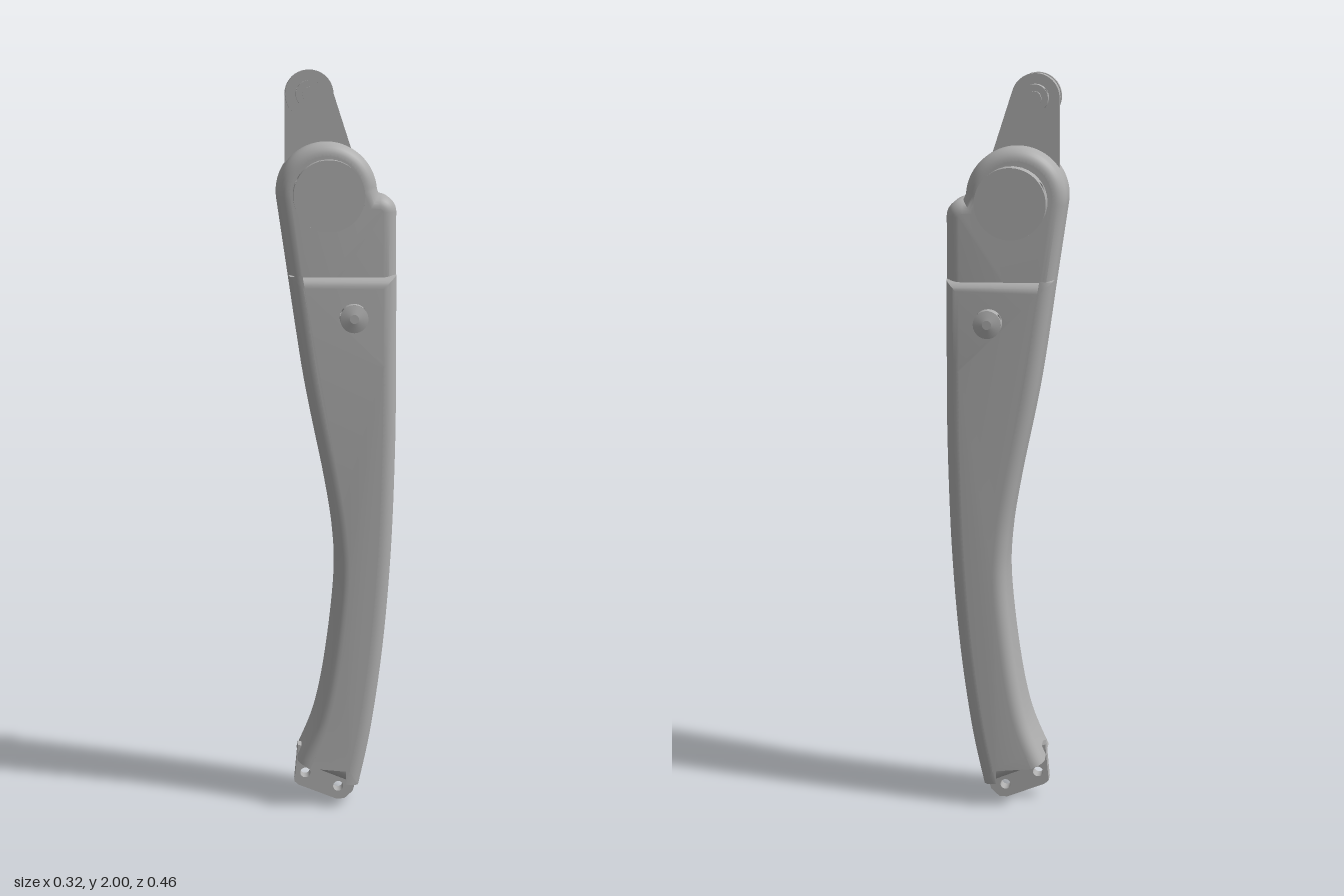
import * as THREE from 'three';
import { toCreasedNormals } from 'three/addons/utils/BufferGeometryUtils.js';
import { ParametricGeometry } from 'three/addons/geometries/ParametricGeometry.js';

const grey = new THREE.MeshStandardMaterial({ color: 0xaeaeae, side: THREE.DoubleSide });
grey.name = 'plain grey';

// Creasing is done at a large scale so that small parts keep their detail
function mesh(geo, name, angle = 0.55) {
  geo.scale(100, 100, 100);
  const g = toCreasedNormals(geo, angle);
  g.scale(0.01, 0.01, 0.01);
  const m = new THREE.Mesh(g, grey);
  m.name = name;
  return m;
}

// Solid with rounded edges, spanning z = -half to half
function roundedSolid(shape, half, r, name) {
  const geo = new THREE.ExtrudeGeometry(shape, {
    depth: 2 * (half - r), bevelThickness: r, bevelSize: r, bevelOffset: -r,
    bevelSegments: 7, curveSegments: 32,
  });
  geo.translate(0, 0, r - half);
  return mesh(geo, name);
}

function plate(shape, z0, z1, name) {
  const geo = new THREE.ExtrudeGeometry(shape, { depth: z1 - z0, bevelEnabled: false, curveSegments: 32 });
  geo.translate(0, 0, z0);
  return mesh(geo, name);
}

// Cylinder along z
function rod(x, y, z0, z1, r, name, sides = 40) {
  const geo = new THREE.CylinderGeometry(r, r, z1 - z0, sides);
  geo.rotateX(Math.PI / 2);
  geo.translate(x, y, (z0 + z1) / 2);
  return mesh(geo, name);
}

// Collar along z with three radial holes drilled in its rim
function collar(x, y, z0, z1, R, hole, name) {
  const group = new THREE.Group();
  group.name = name;
  const half = (z1 - z0) / 2;
  for (let i = 0; i < 3; i++) {
    const mid = Math.PI * (0.18 + i * 2 / 3);
    const rim = new ParametricGeometry((u, v, p) => {
      const a = u * 2 * Math.PI, c = Math.cos(a), s = Math.sin(a);
      const m = Math.max(Math.abs(c), Math.abs(s));
      const k = Math.max(0, (v * 6 - 1) / 5);
      const arc = THREE.MathUtils.lerp(c * hole / R, c / m * Math.PI / 3, k);
      const w = THREE.MathUtils.lerp(s * hole, s / m * half, k);
      const r = v < 0.01 ? R * 0.6 : R;
      p.set(r * Math.cos(mid + arc), r * Math.sin(mid + arc), w);
    }, 48, 6);
    group.add(mesh(rim, 'drilledRim'));
  }
  for (const side of [-1, 1]) {
    const cap = new THREE.CircleGeometry(R, 60);
    if (side < 0) cap.rotateY(Math.PI);
    cap.translate(0, 0, side * half);
    group.add(mesh(cap, 'collarFace'));
  }
  group.add(rod(0, 0, -half * 0.98, half * 0.98, R * 0.65, 'collarCore'));
  group.position.set(x, y, (z0 + z1) / 2);
  return group;
}

const vecs = (pts) => pts.map(([x, y]) => new THREE.Vector2(x, y));

function circleHole(x, y, r) {
  return new THREE.Path().absarc(x, y, r, 0, Math.PI * 2, true);
}

export function createModel() {
  const model = new THREE.Group();
  model.name = 'leg';
  const ax = -0.027, ay = 1.68;   // main axle
  const px = -0.073, py = 1.937;  // lever pin

  // Curved lower limb
  const limb = new THREE.Shape();
  limb.moveTo(-0.108, 0.13);
  limb.lineTo(0.058, 0.062);
  limb.splineThru(vecs([[0.093, 0.23], [0.125, 0.465], [0.146, 0.73], [0.156, 1.02], [0.157, 1.25]]));
  limb.lineTo(0.157, 1.465);
  limb.lineTo(-0.129, 1.465);
  limb.splineThru(vecs([[-0.087, 1.18], [-0.034, 0.915], [-0.009, 0.757], [-0.005, 0.62], [-0.028, 0.41], [-0.06, 0.25], [-0.108, 0.13]]));
  model.add(roundedSolid(limb, 0.104, 0.036, 'lowerLimb'));

  // Narrower hip with a round head and a shoulder
  const hip = new THREE.Shape();
  hip.moveTo(-0.106, 1.3);
  hip.lineTo(0.157, 1.3);
  hip.lineTo(0.157, 1.63);
  hip.absarc(0.112, 1.63, 0.045, 0, Math.PI / 2, false);
  hip.absarc(ax, ay, 0.133, 0.075, Math.PI + 0.14, false);
  hip.closePath();
  model.add(roundedSolid(hip, 0.087, 0.036, 'hip'));

  // Foot tab with two bolt holes
  const tab = new THREE.Shape(vecs([[-0.116, 0.055], [-0.106, 0.16], [0.02, 0.12], [0.056, 0.062],
    [0.045, 0.025], [0.022, 0.004], [0.0, 0.003], [-0.105, 0.045]]));
  tab.holes.push(circleHole(-0.086, 0.08, 0.014), circleHole(0.005, 0.04, 0.014));
  model.add(plate(tab, -0.02, 0.02, 'footTab'));

  // Axle ends and side bolts, front and back
  for (const side of [1, -1]) {
    const end = new THREE.Group();
    end.name = side > 0 ? 'frontAxle' : 'backAxle';
    const span = (a, b) => side > 0 ? [a, b] : [-b, -a];
    end.add(
      rod(ax, ay, ...span(0.06, 0.112), 0.08, 'axleFlange'),
      rod(ax, ay, ...span(0.11, 0.152), 0.044, 'axleNut', 6),
      rod(ax, ay, ...span(0.15, 0.172), 0.036, 'axleShaft'),
      collar(ax, ay, ...span(0.171, 0.232), 0.092, 0.014, 'axleCollar'),
      rod(0.042, 1.355, ...span(0.09, 0.112), 0.022, 'sideBoltShank'),
      collar(0.042, 1.355, ...span(0.106, 0.141), 0.037, 0.011, 'sideBoltHead'),
    );
    const tip = new THREE.CylinderGeometry(0.012, 0.037, 0.006, 40);
    tip.rotateX(side * Math.PI / 2);
    tip.translate(0.042, 1.355, side * 0.144);
    end.add(mesh(tip, 'sideBoltTip', 0.1));
    model.add(end);
  }

  // Lever plate rising out of the head
  const lever = new THREE.Shape();
  lever.moveTo(-0.137, 1.7);
  lever.lineTo(0.07, 1.7);
  lever.absarc(px, py, 0.063, 0.32, Math.PI, false);
  lever.closePath();
  model.add(plate(lever, -0.012, 0.011, 'lever'));

  // Lever pin with its discs and nuts
  model.add(
    rod(px, py, 0.0, 0.036, 0.063, 'leverBoss'),
    rod(px, py, 0.061, 0.084, 0.063, 'pinDisc'),
    rod(px, py, -0.062, 0.133, 0.019, 'pin'),
    collar(px, py, 0.084, 0.121, 0.036, 0.011, 'frontPinNut'),
    collar(px, py, -0.05, -0.012, 0.036, 0.011, 'backPinNut'),
  );
  return model;
}
